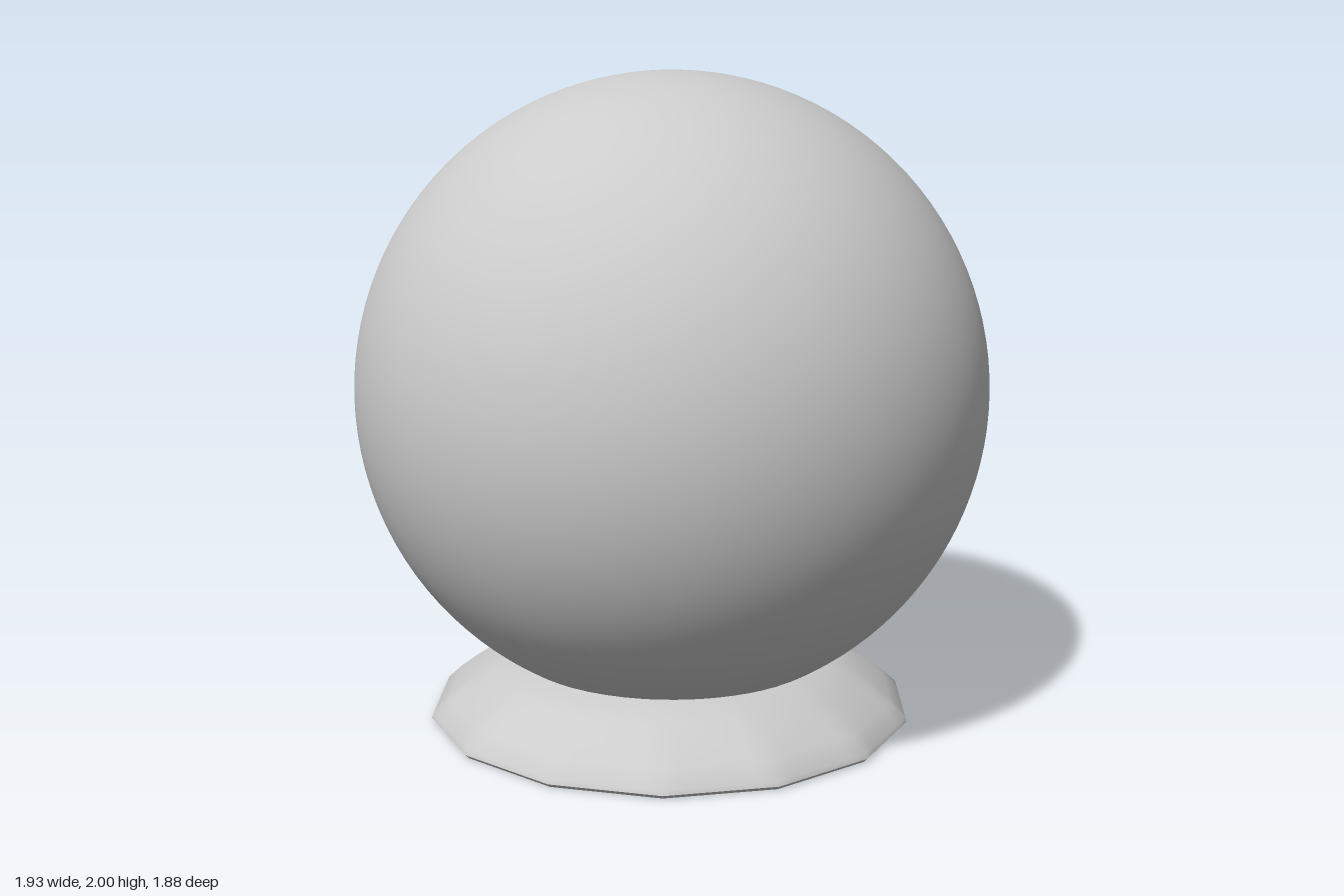
import * as THREE from 'three';
import { toCreasedNormals } from 'three/addons/utils/BufferGeometryUtils.js';

const v = (x, y) => new THREE.Vector2(x, y);

// Points of a circular arc in the (radius, height) plane, angles from the axis tip
function arc(radius, from, to, steps) {
  const pts = [];
  for (let i = 0; i <= steps; i++) {
    const a = from + (to - from) * i / steps;
    pts.push(v(Math.max(0, radius * Math.sin(a)), radius * Math.cos(a)));
  }
  return pts;
}

// Hollow globe: outer skin, rounded lip, stepped throat and inner wall
function globeGeometry() {
  const outer = 0.967, inner = 0.82;
  const profile = [
    ...arc(outer, Math.PI, 0.48, 64),
    v(0.437, 0.864), v(0.425, 0.862), v(0.414, 0.853), v(0.407, 0.838),
    v(0.404, 0.815), v(0.404, 0.79),
    v(0.402, 0.784), v(0.39, 0.782), v(0.379, 0.777), v(0.373, 0.765),
    ...arc(inner, 0.472, Math.PI, 56),
  ];
  return toCreasedNormals(new THREE.LatheGeometry(profile, 112), 0.7);
}

// Flared foot whose lower edge is slightly faceted
function footGeometry() {
  const sides = 14;
  const geo = new THREE.LatheGeometry([
    v(0, 0.005), v(0.4, 0.005), v(0.745, 0.005), v(0.757, 0.012), v(0.752, 0.026),
    v(0.705, 0.07), v(0.65, 0.112), v(0.58, 0.155), v(0.49, 0.203), v(0.44, 0.203),
  ], sides * 6);
  const p = geo.attributes.position, step = 2 * Math.PI / sides;
  for (let i = 0; i < p.count; i++) {
    const x = p.getX(i), z = p.getZ(i), r = Math.hypot(x, z);
    const a = Math.atan2(z, x) + 2 * Math.PI;
    const facet = Math.cos(step / 2) / Math.cos((a % step) - step / 2);
    const k = THREE.MathUtils.lerp(1, facet, THREE.MathUtils.smoothstep(r, 0.5, 0.75));
    p.setX(i, x * k);
    p.setZ(i, z * k);
    if (p.getY(i) < 0.006) p.setY(i, 0);
  }
  return toCreasedNormals(geo, 0.6);
}

export function createModel() {
  const group = new THREE.Group();
  const material = new THREE.MeshStandardMaterial({ color: 0xcccccc, side: THREE.DoubleSide });

  // Globe, with its opening turned to the back and tilted slightly up
  const globe = new THREE.Mesh(globeGeometry(), material);
  globe.name = 'globe';
  globe.position.set(0, 1.033, -0.021);
  globe.rotation.x = -(Math.PI / 2 - 0.115);
  group.add(globe);

  // Foot
  const foot = new THREE.Mesh(footGeometry(), material);
  foot.name = 'foot';
  foot.position.set(-0.005, 0, -0.03);
  group.add(foot);

  return group;
}
